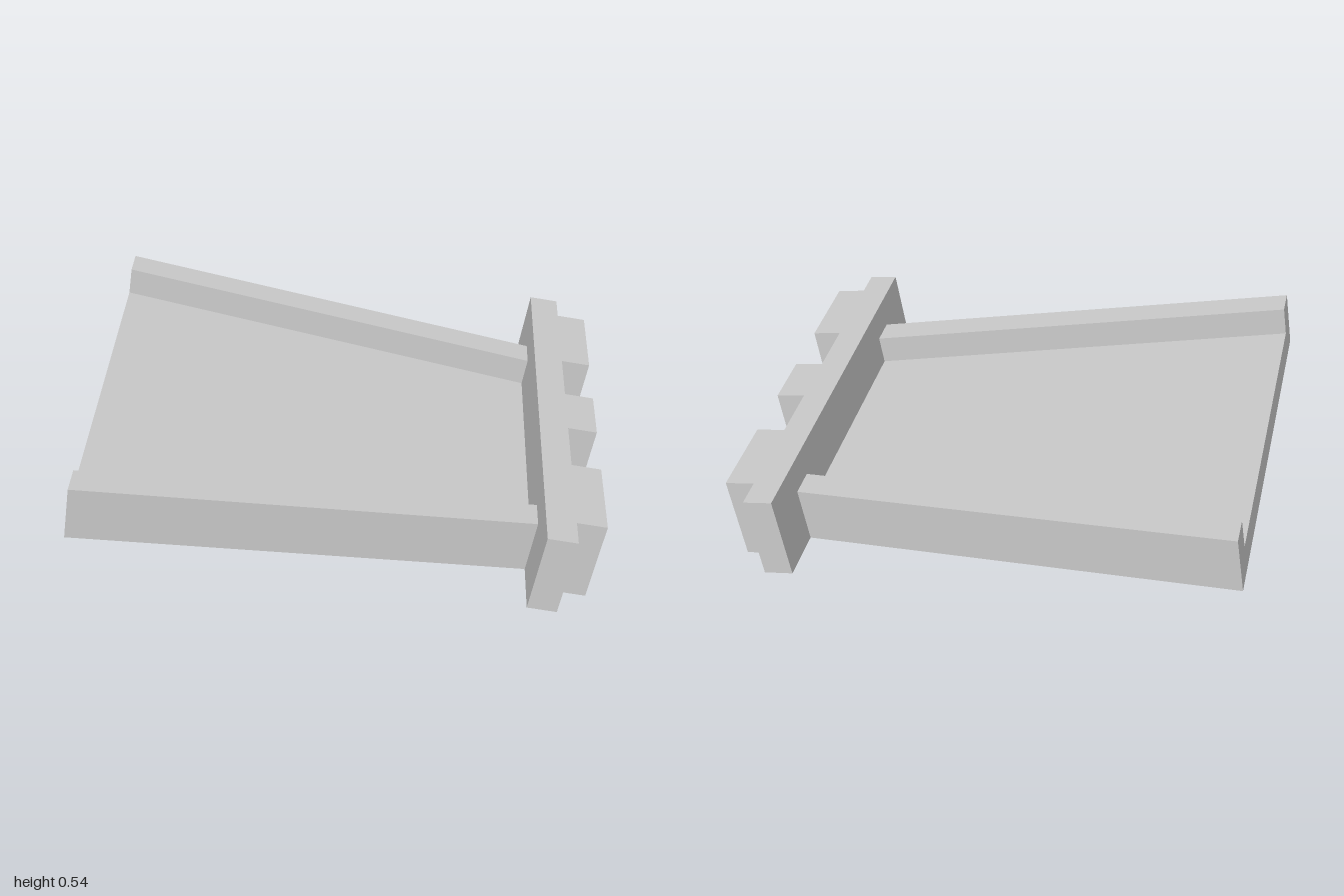
import * as THREE from 'three';

const material = new THREE.MeshStandardMaterial({ color: 0xcccccc, flatShading: true });

// Extrude a plan outline ([along, across] points) upward from a base height
function slab(name, points, base, height) {
  const shape = new THREE.Shape(points.map(([u, w]) => new THREE.Vector2(u, w)));
  const geometry = new THREE.ExtrudeGeometry(shape, { depth: height, bevelEnabled: false });
  geometry.rotateX(-Math.PI / 2);
  geometry.translate(0, base, 0);
  const mesh = new THREE.Mesh(geometry, material);
  mesh.name = name;
  return mesh;
}

export function createModel() {
  const model = new THREE.Group();
  model.name = 'taperedRamp';

  // Everything is built flat, then tilted down toward the toothed end
  const ramp = new THREE.Group();
  ramp.name = 'tiltedRamp';
  const length = 1.737, wide = 0.81, narrow = 0.595, wall = 0.113;
  const floorHeight = 0.111, wallHeight = 0.23;

  // Tapered floor
  ramp.add(slab('floor', [[0, -wide], [length, -narrow], [length, narrow], [0, wide]], 0, floorHeight));

  // Side walls along the tapered edges
  for (const [name, s] of [['frontWall', -1], ['backWall', 1]]) {
    ramp.add(slab(name, [
      [0, s * wide], [length, s * narrow], [length, s * (narrow - wall)], [0, s * (wide - wall)],
    ], floorHeight, wallHeight - floorHeight));
  }

  // Cross beam with three teeth on its outer side
  const root = 1.852, tip = 1.968;
  const outline = [[length, -wide], [root, -wide]];
  for (const [a, b] of [[-0.695, -0.35], [-0.115, 0.115], [0.35, 0.695]]) {
    outline.push([root, a], [tip, a], [tip, b], [root, b]);
  }
  outline.push([root, wide], [length, wide]);
  ramp.add(slab('toothedBeam', outline, 0, 0.345));

  ramp.rotation.z = -THREE.MathUtils.degToRad(9);
  ramp.position.set(-1, 0.308, 0);
  model.add(ramp);
  return model;
}
